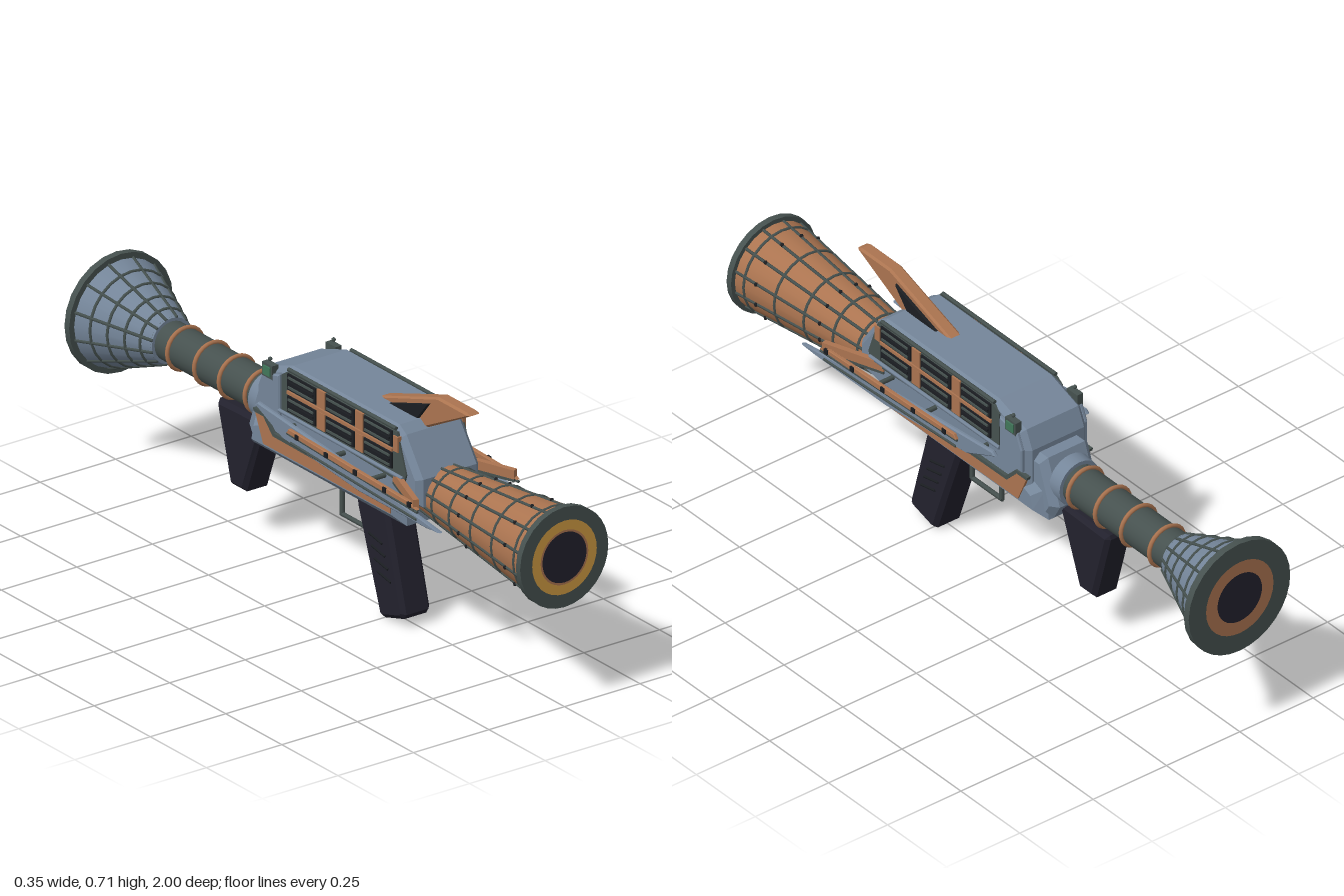
import * as THREE from 'three';

const mat = (name, color) => {
  const m = new THREE.MeshStandardMaterial({ color });
  m.name = name;
  return m;
};

export function createModel() {
  const model = new THREE.Group();
  model.name = 'launcher';
  const steel = mat('blue grey steel', 0x75869a);
  const copper = mat('copper', 0xab7450);
  const gold = mat('gold', 0xd09a42);
  const iron = mat('dark iron', 0x46514f);
  const grip = mat('grip navy', 0x22212d);
  const black = mat('grille black', 0x1b1e22);
  const green = mat('signal green', 0x41775a);
  const AXIS = 0.435; // height of the barrel axis

  const add = (name, geometry, material, parent = model) => {
    const mesh = new THREE.Mesh(geometry, material);
    mesh.name = name;
    parent.add(mesh);
    return mesh;
  };
  const box = (name, w, h, d, x, y, z, m, parent) => {
    const mesh = add(name, new THREE.BoxGeometry(w, h, d), m, parent);
    mesh.position.set(x, y, z);
    return mesh;
  };
  // Side outline given as [z, y], extruded across x around the centre cx
  const slab = (name, pts, width, bevel, m, cx = 0, parent = model, hole) => {
    const shape = new THREE.Shape(pts.map(p => new THREE.Vector2(...p)));
    if (hole) shape.holes.push(new THREE.Path(hole.map(p => new THREE.Vector2(...p))));
    const g = new THREE.ExtrudeGeometry(shape, {
      depth: width - 2 * bevel, bevelEnabled: bevel > 0, bevelSize: bevel,
      bevelThickness: bevel, bevelOffset: -bevel, bevelSegments: 1,
    });
    g.translate(0, 0, -(width - 2 * bevel) / 2).rotateY(-Math.PI / 2).translate(cx, 0, 0);
    return add(name, g, m, parent);
  };
  // Straight round bar between two points
  const rod = (name, a, b, r, m, parent) => {
    const va = new THREE.Vector3(...a), vb = new THREE.Vector3(...b);
    const d = vb.clone().sub(va);
    const mesh = add(name, new THREE.CylinderGeometry(r, r, d.length(), 6), m, parent);
    mesh.position.copy(va).add(vb).multiplyScalar(0.5);
    mesh.quaternion.setFromUnitVectors(new THREE.Vector3(0, 1, 0), d.normalize());
    return mesh;
  };
  // Frustum along z, from z0 (radius r0) to z1 (radius r1), with z1 > z0
  const tube = (name, z0, r0, z1, r1, m, sides = 24) => {
    const g = new THREE.CylinderGeometry(r1, r0, z1 - z0, sides).rotateX(Math.PI / 2);
    add(name, g, m).position.set(0, AXIS, (z0 + z1) / 2);
  };
  const hoop = (name, z, r, t, m) =>
    add(name, new THREE.TorusGeometry(r, t, 6, 24), m).position.set(0, AXIS, z);

  // Ribbed cone: shell, lengthwise ribs, hoops and rivets
  const ribbedCone = (name, z0, r0, z1, r1, m, hoops, rivetHoops) => {
    tube(name, z0, r0, z1, r1, m);
    const radius = z => r0 + (r1 - r0) * (z - z0) / (z1 - z0);
    for (const z of hoops) hoop(name + 'Hoop', z, radius(z), 0.0045, iron);
    for (let i = 0; i < 12; i++) {
      const a = (i + 0.5) * Math.PI / 6, c = Math.cos(a), s = Math.sin(a);
      rod(name + 'Rib', [r0 * c, AXIS + r0 * s, z0], [r1 * c, AXIS + r1 * s, z1], 0.0045, iron);
      for (const z of rivetHoops) {
        const r = radius(z) + 0.003;
        add(name + 'Rivet', new THREE.SphereGeometry(0.006, 6, 4), black)
          .position.set(r * c, AXIS + r * s, z);
      }
    }
  };
  ribbedCone('frontCone', 0.43, 0.074, 0.98, 0.132, copper, [0.52, 0.61, 0.72, 0.83, 0.945], [0.66, 0.9]);
  ribbedCone('rearBell', -0.98, 0.157, -0.75, 0.066, steel, [-0.93, -0.88, -0.83, -0.785], []);

  // Rims and coloured end faces
  tube('frontRim', 0.978, 0.145, 0.997, 0.145, iron);
  tube('rearRim', -0.997, 0.172, -0.976, 0.172, iron);
  const endFace = (name, r0, r1, z, m) => {
    const g = new THREE.RingGeometry(r0, r1, 32);
    if (z < 0) g.rotateY(Math.PI);
    add(name, g, m).position.set(0, AXIS, z);
  };
  endFace('frontRimFace', 0.107, 0.145, 1, iron);
  endFace('frontGoldRing', 0.079, 0.107, 1, gold);
  endFace('frontInnerRing', 0.073, 0.079, 1, copper);
  endFace('frontBore', 0.0001, 0.073, 1, grip);
  endFace('rearRimFace', 0.115, 0.172, -1, iron);
  endFace('rearCopperRing', 0.076, 0.115, -1, copper);
  endFace('rearBore', 0.0001, 0.076, -1, grip);

  // Barrel with copper bands and collars
  tube('barrel', -0.77, 0.057, -0.25, 0.057, iron);
  for (const z of [-0.345, -0.46, -0.57, -0.69]) hoop('barrelBand', z, 0.06, 0.0065, copper);
  tube('bellCollar', -0.775, 0.074, -0.755, 0.068, iron);
  tube('barrelCollar', -0.32, 0.068, -0.28, 0.072, steel);

  // Body: upper housing, lower hull and rear neck
  slab('upperHousing', [[0.49, 0.42], [0.49, 0.5], [0.415, 0.605], [0.385, 0.624], [-0.09, 0.624],
    [-0.205, 0.585], [-0.23, 0.53], [-0.23, 0.4], [0.38, 0.4]], 0.208, 0.016, steel);
  slab('lowerHull', [[0.4, 0.33], [0.4, 0.43], [-0.22, 0.44], [-0.27, 0.42], [-0.285, 0.33]],
    0.212, 0.03, steel);
  slab('rearNeck', [[-0.2, 0.34], [-0.2, 0.515], [-0.265, 0.515], [-0.315, 0.38], [-0.29, 0.335]],
    0.165, 0.02, steel);

  // Top fin with grille on each side
  slab('topFin', [[0.6, 0.705], [0.585, 0.711], [0.46, 0.711], [0.2, 0.622], [0.22, 0.605], [0.41, 0.605]],
    0.04, 0.006, copper);
  slab('topFinGrille', [[0.43, 0.683], [0.25, 0.622], [0.38, 0.622]], 0.056, 0.003, black);

  // Pistol grip and rear grip
  slab('pistolGrip', [[0.265, 0.335], [0.13, 0.335], [0.135, 0.29], [0.235, 0.005], [0.25, 0],
    [0.335, 0.025], [0.345, 0.04]], 0.096, 0.012, grip);
  slab('rearGrip', [[-0.285, 0.375], [-0.49, 0.372], [-0.495, 0.36], [-0.435, 0.142], [-0.37, 0.142]],
    0.09, 0.012, grip);
  for (const s of [1, -1]) for (let i = 0; i < 4; i++) {
    const y = 0.125 + i * 0.033, z = 0.262 - i * 0.013;
    rod('gripRidge', [s * 0.048, y - 0.006, z + 0.03], [s * 0.048, y + 0.006, z - 0.03], 0.004, black);
  }

  // Trigger guard and trigger
  rod('guardFront', [0, 0.34, 0.01], [0, 0.205, 0.01], 0.007, iron);
  rod('guardBase', [0, 0.205, 0.005], [0, 0.205, 0.135], 0.007, iron);
  rod('guardRear', [0, 0.205, 0.135], [0, 0.29, 0.135], 0.007, iron);
  rod('trigger', [0, 0.33, 0.09], [0, 0.262, 0.112], 0.007, iron);

  // Mirrored side details
  for (const s of [1, -1]) {
    const side = new THREE.Group();
    side.name = s > 0 ? 'leftSide' : 'rightSide';
    model.add(side);

    // Copper band on the hull inside a steel surround
    slab('hullBand', [[0.37, 0.365], [0.37, 0.4], [-0.15, 0.405], [-0.19, 0.448], [-0.232, 0.448],
      [-0.195, 0.365]], 0.008, 0, copper, s * 0.106, side);
    slab('hullBandEdge', [[0.375, 0.398], [0.375, 0.408], [-0.145, 0.413], [-0.188, 0.456],
      [-0.238, 0.456], [-0.235, 0.446], [-0.192, 0.446], [-0.15, 0.403]], 0.012, 0, iron, s * 0.106, side);

    // Rear cheek plate
    slab('cheekPlate', [[-0.12, 0.46], [-0.12, 0.592], [-0.195, 0.575], [-0.215, 0.53], [-0.215, 0.46]],
      0.014, 0.004, steel, s * 0.107, side);

    // Grille panel: copper backing, black windows with bars
    slab('grillePanel', [[0.44, 0.5], [0.4, 0.612], [-0.09, 0.612], [-0.115, 0.595], [-0.115, 0.49], [0.43, 0.47]],
      0.008, 0, iron, s * 0.105, side);
    for (let row = 0; row < 2; row++) for (let col = 0; col < 3; col++) {
      const z = 0.32 - col * 0.17, y = 0.588 - row * 0.064;
      if (col < 2) box('grilleDivider', 0.012, 0.05, 0.035, s * 0.107, y, z - 0.085, copper, side);
      box('grilleWindow', 0.014, 0.046, 0.125, s * 0.107, y, z, black, side);
      for (let k = -1; k <= 1; k++)
        box('grilleBar', 0.006, 0.006, 0.11, s * 0.115, y + k * 0.014, z, k ? iron : black, side);
    }
    box('middleStrip', 0.014, 0.009, 0.47, s * 0.108, 0.556, 0.15, copper, side);
    box('grilleFrontPlate', 0.012, 0.045, 0.022, s * 0.107, 0.578, 0.398, copper, side);
    rod('topRail', [s * 0.104, 0.618, 0.39], [s * 0.104, 0.618, -0.09], 0.006, iron, side);
    rod('lowerRail', [s * 0.112, 0.488, 0.43], [s * 0.112, 0.49, -0.12], 0.006, steel, side);

    // Signal lamp
    box('lampHousing', 0.02, 0.04, 0.045, s * 0.105, 0.588, -0.17, iron, side);
    box('signalLamp', 0.008, 0.026, 0.03, s * 0.115, 0.588, -0.17, green, side);
    add('lampKnob', new THREE.SphereGeometry(0.006, 8, 6), iron, side).position.set(s * 0.105, 0.62, -0.17);

    // Long steel blade with copper stripe and iron edge
    slab('sideBlade', [[0.66, 0.425], [0.3, 0.475], [-0.15, 0.516], [-0.162, 0.505], [-0.04, 0.45],
      [0.3, 0.418], [0.6, 0.418]], 0.014, 0.004, steel, s * 0.156, side);
    slab('bladeStripe', [[0.57, 0.462], [0.54, 0.476], [0, 0.494], [-0.01, 0.48], [0.3, 0.465]],
      0.012, 0.002, copper, s * 0.166, side);
    rod('bladeEdge', [s * 0.168, 0.455, 0.57], [s * 0.168, 0.478, -0.01], 0.004, iron, side);
    rod('bladeLowerEdge', [s * 0.164, 0.43, 0.56], [s * 0.164, 0.452, 0], 0.004, iron, side);
    for (const z of [0.04, 0.17, 0.3, 0.43, 0.54])
      box('bladeRivet', 0.008, 0.014, 0.014, s * 0.172, 0.485 - z * 0.03, z, black, side);

    // Struts joining blade and body
    const strut = (name, z0, z1, y, h, m) => {
      const dx = 0.065, dz = z1 - z0;
      const b = box(name, 0.016, h, Math.hypot(dx, dz), s * 0.132, y, (z0 + z1) / 2, m, side);
      b.rotation.y = s * Math.atan2(dx, dz);
    };
    strut('frontStrut', 0.38, 0.56, 0.475, 0.026, copper);
    strut('frontStrutEdge', 0.38, 0.56, 0.458, 0.008, iron);
    for (const z of [-0.06, 0.16, 0.34])
      rod('bladePin', [s * 0.09, 0.465, z], [s * 0.156, 0.465, z], 0.007, iron, side);
  }
  return model;
}
